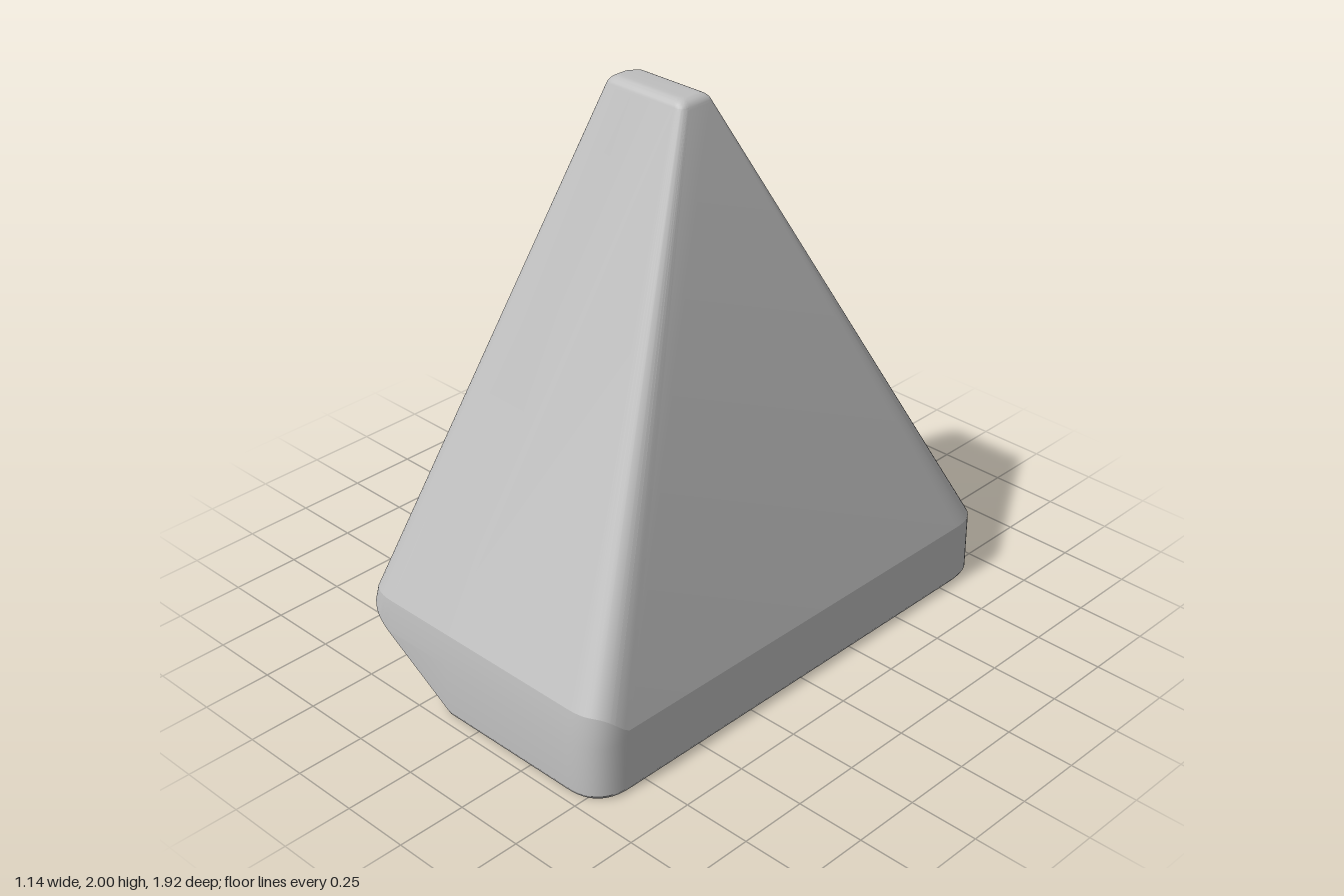
import * as THREE from 'three';
import { toCreasedNormals } from 'three/addons/utils/BufferGeometryUtils.js';

const ARC = 12;

// Corners are [x, z, rounding]; counter-clockwise seen from above.
// Corners without rounding are the ends of the fold in the underside.
const BASE = [
  [-0.57, 0.965, 0.14], [-0.14, 0.965, 0], [0.57, 0.965, 0.14], [0.57, -0.96, 0.14],
  [0.12, -0.96, 0.06], [-0.14, -0.523, 0], [-0.57, 0.2, 0.06],
];
const TIP = [
  [-0.23, 0.125, 0.035], [-0.1, 0.125, 0], [0.12, 0.125, 0.035], [0.12, -0.02, 0.02],
  [-0.2, -0.02, 0.01], [-0.211, -0.001, 0], [-0.23, 0.03, 0.01],
];

// Outline with rounded corners, always the same number of points
function outline(corners) {
  const points = [];
  corners.forEach(([x, z, t], i) => {
    const p = new THREE.Vector2(x, z);
    if (t === 0) { points.push(p); return; }
    const n = corners.length;
    const toward = (c) => p.clone().add(new THREE.Vector2(c[0], c[1]).sub(p).setLength(t));
    const curve = new THREE.QuadraticBezierCurve(
      toward(corners[(i + n - 1) % n]), p, toward(corners[(i + 1) % n]));
    points.push(...curve.getPoints(ARC));
  });
  return points;
}

// Skin a stack of equal loops and close both ends
function loft(rings, bottomStart) {
  const n = rings[0].length;
  const position = rings.flat(2);
  const index = [];
  for (let j = 0; j < rings.length - 1; j++) {
    for (let i = 0; i < n; i++) {
      const a = j * n + i, b = j * n + (i + 1) % n;
      index.push(a, b, b + n, a, b + n, a + n);
    }
  }
  const top = (rings.length - 1) * n;
  for (let i = 1; i < n - 1; i++) {
    index.push(top, top + i, top + i + 1);
    index.push(bottomStart, (bottomStart + i + 1) % n, (bottomStart + i) % n);
  }
  const geometry = new THREE.BufferGeometry();
  geometry.setAttribute('position', new THREE.Float32BufferAttribute(position, 3));
  geometry.setIndex(index);
  return toCreasedNormals(geometry, THREE.MathUtils.degToRad(12));
}

export function createModel() {
  const group = new THREE.Group();
  group.name = 'taperedBlock';
  const grey = new THREE.MeshStandardMaterial({ color: 0xbfbfbf });
  grey.name = 'light grey';

  const base = outline(BASE);
  const tip = outline(TIP);
  const low = (p) => Math.max(0, (-0.14 - p.x) * 0.6); // slanted underside
  const front = (p) => THREE.MathUtils.smoothstep(p.y, 0.8, 0.95);

  // Foot: small bottom bevel, upright wall, slightly leaning front
  const rings = [
    base.map((p) => [p.x * 0.985, low(p), p.y * 0.992]),
    base.map((p) => [p.x, low(p) + 0.015, p.y]),
    base.map((p) => [p.x, Math.max(0.2, low(p) + 0.02), p.y]),
    base.map((p) => [p.x, Math.max(0.23 + 0.08 * front(p), low(p) + 0.03), p.y - 0.015 * front(p)]),
  ];

  // Tip: rounded over towards the flat top
  const r = 0.04, cx = -0.055, cz = 0.0525;
  for (let k = 0; k <= 7; k++) {
    const a = THREE.MathUtils.degToRad(15 + (75 * k) / 7);
    const inset = r * (Math.cos(Math.PI / 12) - Math.cos(a));
    const sx = 1 - inset / 0.175, sz = 1 - inset / 0.0725;
    const y = 2 - r * (1 - Math.sin(a));
    rings.push(tip.map((p) => [cx + (p.x - cx) * sx, y, cz + (p.y - cz) * sz]));
  }

  const body = new THREE.Mesh(loft(rings, ARC + 1), grey);
  body.name = 'body';
  group.add(body);
  return group;
}
